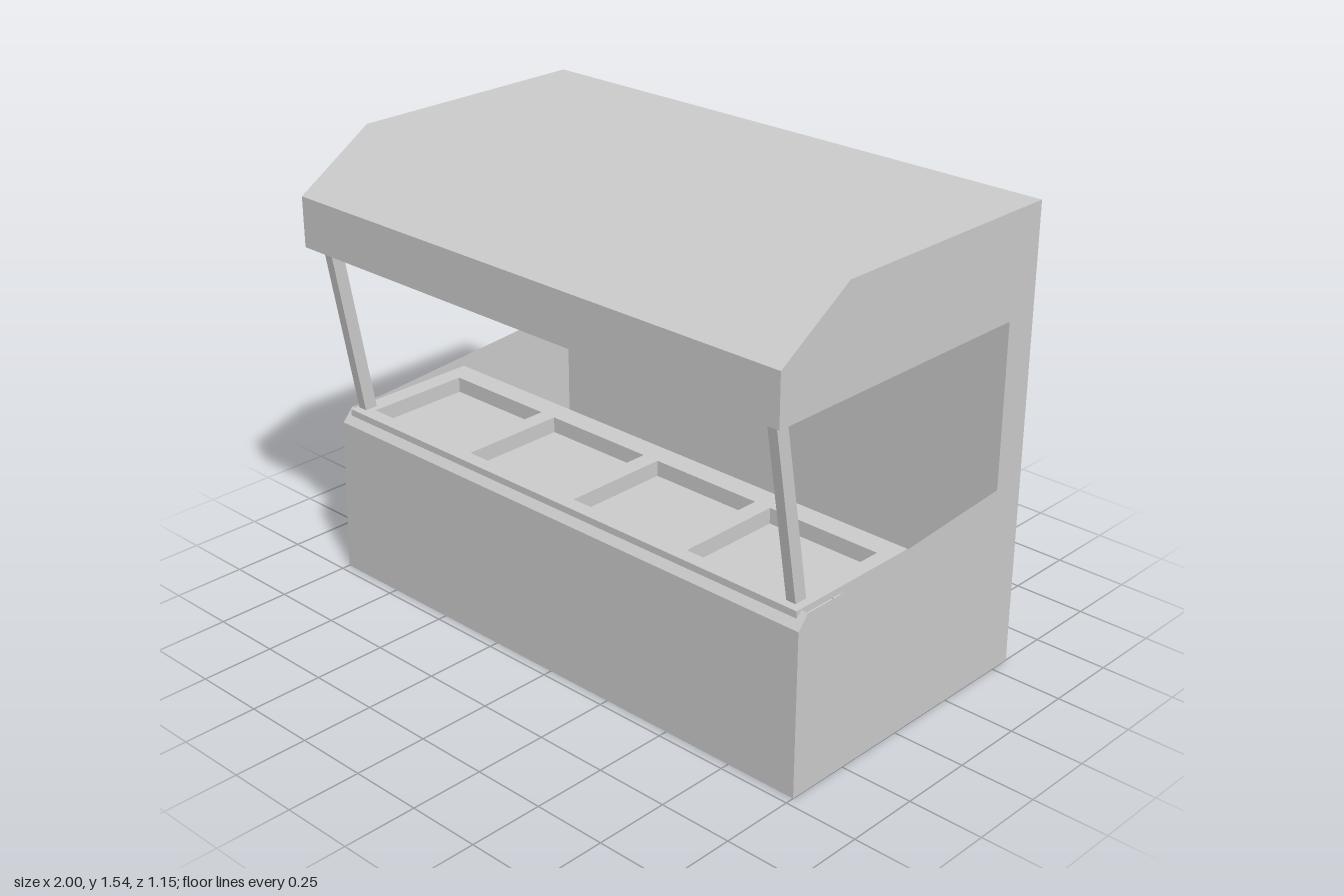
import * as THREE from 'three';

const LEFT = 1, RIGHT = -0.98;

export function createModel() {
  const model = new THREE.Group();
  const sheet = new THREE.MeshStandardMaterial({ color: 0xcccccc, flatShading: true, side: THREE.DoubleSide });

  const add = (name, geometry, parent = model) => {
    const mesh = new THREE.Mesh(geometry, sheet);
    mesh.name = name;
    parent.add(mesh);
    return mesh;
  };

  // the lower front corner on the model's right flares out slightly
  const rightX = (z, y) => (y === 0 && z > 0 ? -1 : RIGHT);

  // folded sheet spanning the full width along a [z, y] path
  const foldedSheet = (path) => {
    const pos = [];
    for (let i = 0; i < path.length - 1; i++) {
      const [z0, y0] = path[i], [z1, y1] = path[i + 1];
      const a = [rightX(z0, y0), y0, z0], b = [LEFT, y0, z0];
      const c = [LEFT, y1, z1], d = [rightX(z1, y1), y1, z1];
      pos.push(...a, ...b, ...c, ...a, ...c, ...d);
    }
    const g = new THREE.BufferGeometry();
    g.setAttribute('position', new THREE.Float32BufferAttribute(pos, 3));
    g.computeVertexNormals();
    return g;
  };

  const frontPath = [[0.47, 0], [0.47, 0.55], [0.43, 0.595]];
  const roofPath = [[0.575, 1.2], [0.575, 1.37], [0.3, 1.545], [-0.575, 1.545], [-0.575, 0]];
  add('counterFront', foldedSheet(frontPath));
  add('canopyAndBackWall', foldedSheet(roofPath));

  // C-shaped side panels
  const outline = [...frontPath, [0.3, 0.595], [-0.455, 0.65], [-0.455, 1.2], ...roofPath];
  const sidePanel = () => new THREE.ShapeGeometry(
    new THREE.Shape(outline.map(([z, y]) => new THREE.Vector2(z, y)))).rotateY(-Math.PI / 2);
  add('leftSidePanel', sidePanel().translate(LEFT, 0, 0));
  const flared = sidePanel();
  const p = flared.attributes.position;
  for (let i = 0; i < p.count; i++) {
    p.setX(i, rightX(p.getZ(i), Math.abs(p.getY(i)) < 1e-6 ? 0 : p.getY(i)));
  }
  flared.computeVertexNormals();
  add('rightSidePanel', flared);

  // serving tray: frame with four rectangular openings
  const tray = new THREE.Group();
  tray.name = 'servingTray';
  model.add(tray);
  const rect = (T, x0, x1, z0, z1) => new T([
    new THREE.Vector2(x0, -z1), new THREE.Vector2(x1, -z1),
    new THREE.Vector2(x1, -z0), new THREE.Vector2(x0, -z0)]);
  const frame = rect(THREE.Shape, -0.96, 0.975, -0.05, 0.45);
  const wellW = 0.41, wellBack = 0.03, wellFront = 0.4, top = 0.598, thick = 0.023, floorY = 0.545;
  const wells = [0, 1, 2, 3].map((i) => -0.895 + i * 0.47);
  wells.forEach((x) => frame.holes.push(rect(THREE.Path, x, x + wellW, wellBack, wellFront)));
  add('trayFrame', new THREE.ExtrudeGeometry(frame, { depth: thick, bevelEnabled: false })
    .rotateX(-Math.PI / 2).translate(0, top - thick, 0), tray);

  // sunken pans: floor and four thin walls
  const depth = wellFront - wellBack, h = top - thick - floorY;
  const midZ = (wellFront + wellBack) / 2, midY = floorY + h / 2;
  wells.forEach((x) => {
    const pan = new THREE.Group();
    pan.name = 'foodPan';
    tray.add(pan);
    add('panFloor', new THREE.PlaneGeometry(wellW, depth).rotateX(-Math.PI / 2), pan)
      .position.set(x + wellW / 2, floorY, midZ);
    for (const z of [wellBack, wellFront]) {
      add('panWall', new THREE.PlaneGeometry(wellW, h), pan).position.set(x + wellW / 2, midY, z);
    }
    for (const wx of [x, x + wellW]) {
      add('panWall', new THREE.PlaneGeometry(depth, h).rotateY(Math.PI / 2), pan).position.set(wx, midY, midZ);
    }
  });

  // slanted posts holding up the canopy
  for (const x of [-0.935, 0.93]) {
    const g = new THREE.BoxGeometry(0.034, 0.61, 0.046);
    const q = g.attributes.position;
    for (let i = 0; i < q.count; i++) q.setZ(i, q.getZ(i) + q.getY(i) * 0.175);
    g.computeVertexNormals();
    add('canopyPost', g).position.set(x, 0.897, 0.451);
  }

  return model;
}
